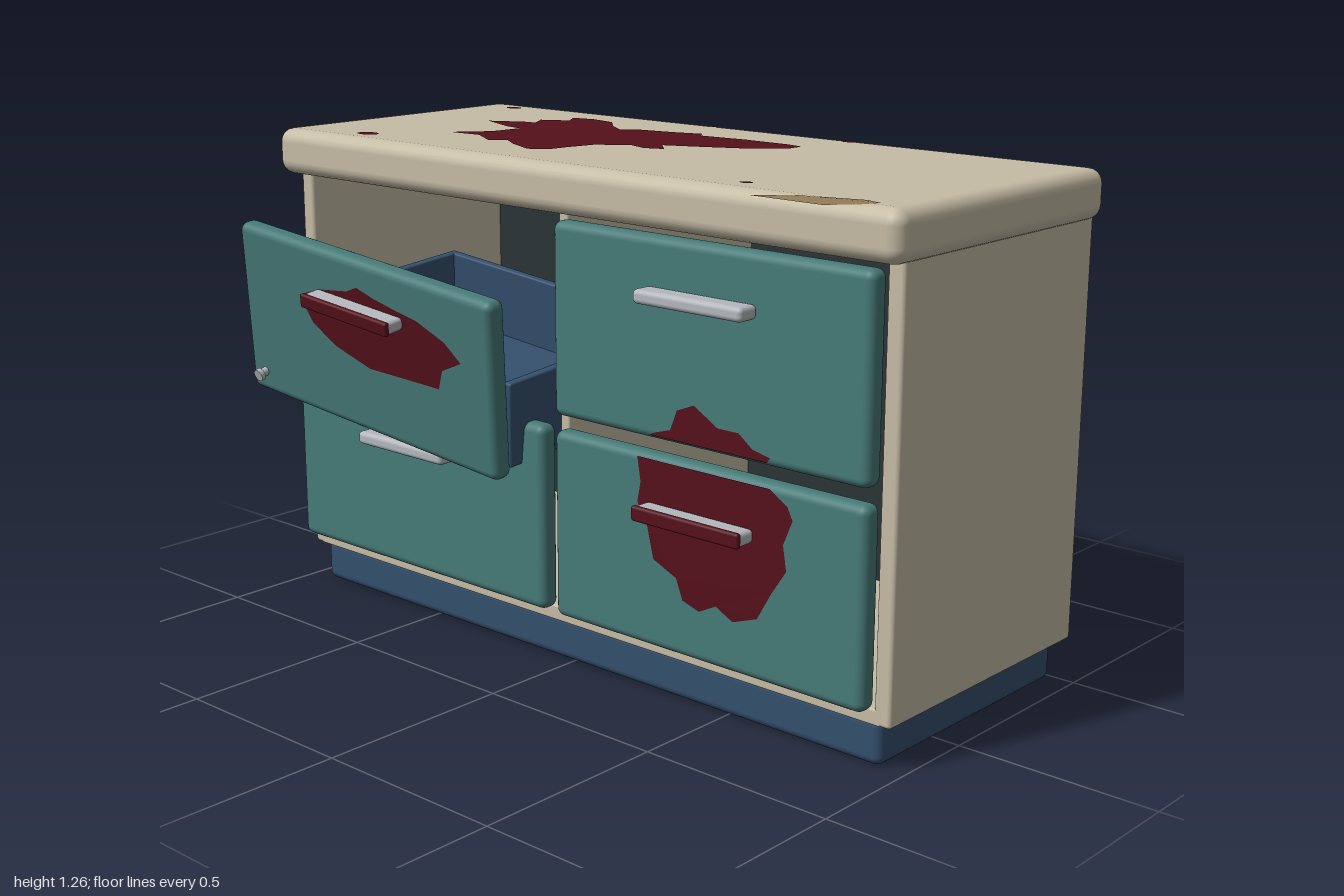
import * as THREE from 'three';
import { RoundedBoxGeometry } from 'three/addons/geometries/RoundedBoxGeometry.js';

const mat = (color) => new THREE.MeshStandardMaterial({ color, side: THREE.DoubleSide });
const cream = mat(0xc6bca6), teal = mat(0x467a78), navy = mat(0x344f6d), dark = mat(0x2a3336);
const steel = mat(0xb4b8bc), red = mat(0x55101b), brown = mat(0x8c7654);

function add(parent, name, geometry, material, x = 0, y = 0, z = 0) {
  const mesh = new THREE.Mesh(geometry, material);
  mesh.name = name;
  mesh.position.set(x, y, z);
  parent.add(mesh);
  return mesh;
}

// Rounded box given by its extents on each axis
function slab(parent, name, material, [x0, x1], [y0, y1], [z0, z1], r = 0.006) {
  const geo = new RoundedBoxGeometry(x1 - x0, y1 - y0, z1 - z0, 3, r);
  return add(parent, name, geo, material, (x0 + x1) / 2, (y0 + y1) / 2, (z0 + z1) / 2);
}

// Flat stain from an outline, facing +z
function stain(parent, name, points, z = 0) {
  const shape = new THREE.Shape(points.map(([x, y]) => new THREE.Vector2(x, y)));
  return add(parent, name, new THREE.ShapeGeometry(shape), red, 0, 0, z);
}

// Drawer front with its bar handle, centred on the panel
function drawerFront(name, width, height, stainedHandle) {
  const g = new THREE.Group();
  g.name = name;
  add(g, 'drawerPanel', new RoundedBoxGeometry(width, height, 0.056, 4, 0.022), teal);
  add(g, 'handle', new RoundedBoxGeometry(0.316, 0.034, 0.06, 3, 0.012), steel, 0, 0.106, 0.055);
  if (stainedHandle) {
    add(g, 'handleStain', new RoundedBoxGeometry(0.318, 0.037, 0.016, 3, 0.007), red, 0, 0.106, 0.079);
  }
  return g;
}

export function createModel() {
  const root = new THREE.Group();
  root.name = 'drawerCabinet';

  // Carcass
  slab(root, 'plinth', navy, [-0.945, 0.94], [0, 0.115], [-0.49, 0.225], 0.022);
  slab(root, 'worktop', cream, [-1, 1], [1.14, 1.26], [-0.525, 0.3], 0.036);
  for (const s of [-1, 1]) {
    slab(root, s < 0 ? 'rightSide' : 'leftSide', cream,
      s < 0 ? [-0.975, -0.93] : [0.93, 0.975], [0.105, 1.15], [-0.515, 0.24], 0.01);
  }
  slab(root, 'divider', cream, [-0.018, 0.012], [0.11, 1.15], [-0.48, 0.24]);
  slab(root, 'bottomBoard', cream, [-0.95, 0.95], [0.105, 0.145], [-0.5, 0.24]);
  slab(root, 'backBoard', cream, [-0.95, 0.95], [0.107, 1.15], [-0.505, -0.475]);
  slab(root, 'backLining', dark, [-0.935, 0.935], [0.14, 1.15], [-0.476, -0.45], 0.003);

  // Closed drawers
  for (const [name, x, y, stained] of [
    ['upperLeftDrawer', 0.478, 0.893, false],
    ['lowerLeftDrawer', 0.478, 0.385, true],
    ['lowerRightDrawer', -0.483, 0.385, false],
  ]) {
    const front = drawerFront(name, 0.925, 0.472, stained);
    front.position.set(x, y, 0.273);
    root.add(front);
  }

  // Tilted open box of the broken drawer, origin at its front centre
  const box = new THREE.Group();
  box.name = 'brokenDrawerBox';
  box.position.set(-0.503, 0.662, 0.352);
  box.rotation.set(0.09, 0, -0.1);
  slab(box, 'boxFloor', navy, [-0.42, 0.42], [-0.11, -0.085], [-0.62, 0]);
  slab(box, 'boxBack', navy, [-0.42, 0.42], [-0.11, 0.11], [-0.62, -0.595]);
  slab(box, 'boxRightWall', navy, [-0.425, -0.4], [-0.11, 0.11], [-0.62, 0]);
  slab(box, 'boxLeftWall', navy, [0.4, 0.425], [-0.11, 0.11], [-0.62, 0]);
  root.add(box);

  // Loose front hanging ahead of the box
  const loose = drawerFront('brokenDrawerFront', 0.92, 0.46, true);
  loose.position.set(-0.492, 0.772, 0.428);
  loose.rotation.set(0.135, 0, -0.1);
  const smear = stain(loose, 'looseFrontStain', [
    [-0.22, 0.11], [-0.18, 0.04], [-0.1, -0.01], [0.02, -0.05], [0.15, -0.055], [0.27, -0.06],
    [0.29, -0.01], [0.36, 0.02], [0.31, 0.065], [0.22, 0.105], [0.15, 0.12], [0.07, 0.14],
    [0.01, 0.16], [-0.03, 0.145], [-0.14, 0.135],
  ], 0.0295);
  smear.rotation.z = 0.1;
  const nail = add(loose, 'nail', new THREE.CylinderGeometry(0.012, 0.012, 0.11, 10), steel, -0.4, -0.165, 0);
  nail.rotation.x = Math.PI / 2 + 0.2;
  add(nail, 'nailHead', new THREE.CylinderGeometry(0.017, 0.017, 0.012, 10), steel, 0, 0.05, 0);
  root.add(loose);

  // Stain across the two left drawers
  stain(root, 'upperFrontStain', [
    [0.33, 0.668], [0.34, 0.675], [0.39, 0.69], [0.41, 0.74], [0.46, 0.76], [0.53, 0.72],
    [0.59, 0.72], [0.63, 0.69], [0.68, 0.68], [0.67, 0.668],
  ], 0.3025);
  stain(root, 'lowerFrontStain', [
    [0.29, 0.61], [0.3, 0.55], [0.29, 0.5], [0.32, 0.45], [0.34, 0.37], [0.41, 0.34], [0.43, 0.29],
    [0.48, 0.275], [0.53, 0.3], [0.58, 0.275], [0.65, 0.3], [0.69, 0.37], [0.73, 0.43],
    [0.72, 0.49], [0.745, 0.55], [0.73, 0.58], [0.68, 0.61],
  ], 0.3025);

  // Stains on the worktop, drawn with y pointing to the back
  const spill = new THREE.Group();
  spill.name = 'worktopStains';
  spill.position.y = 1.2625;
  spill.rotation.x = -Math.PI / 2;
  stain(spill, 'spill', [
    [0.27, 0.32], [0.27, 0.27], [0.19, 0.2], [0.09, 0.15], [0.0, 0.11], [0.05, 0.06], [0.0, 0.04],
    [-0.06, 0.06], [-0.09, 0.03], [-0.13, 0.01], [-0.15, -0.08], [-0.155, -0.13], [-0.2, -0.16],
    [-0.29, -0.12], [-0.35, -0.08], [-0.39, -0.11], [-0.48, -0.055], [-0.58, -0.065], [-0.51, 0.02],
    [-0.5, 0.11], [-0.56, 0.12], [-0.68, 0.17], [-0.59, 0.22], [-0.555, 0.225], [-0.59, 0.28],
    [-0.52, 0.32], [-0.555, 0.37], [-0.49, 0.385], [-0.41, 0.37], [-0.35, 0.31], [-0.29, 0.27],
    [-0.25, 0.3], [-0.15, 0.32], [-0.07, 0.345], [-0.05, 0.315], [0.08, 0.33], [0.22, 0.33],
  ]);
  for (const [x, y, r] of [[-0.845, 0.43, 0.026], [-0.145, 0.48, 0.011], [0.3, 0.475, 0.021],
    [-0.715, -0.225, 0.034], [0.54, -0.225, 0.017]]) {
    add(spill, 'drop', new THREE.CircleGeometry(r, 9), red, x, y, 0).scale.y = 0.7;
  }
  root.add(spill);

  // Worn chip folded over the front edge of the worktop
  const chip = new THREE.ShapeGeometry(new THREE.Shape([
    [0.61, -0.298], [0.72, -0.275], [0.88, -0.25], [0.925, -0.262], [0.88, -0.28], [0.8, -0.298],
  ].map(([x, y]) => new THREE.Vector2(x, y))));
  chip.rotateX(-Math.PI / 2);
  const p = chip.attributes.position;
  for (let i = 0; i < p.count; i++) p.setY(i, 1.263 - Math.max(0, p.getZ(i) - 0.265) * 0.4);
  chip.computeVertexNormals();
  add(root, 'wornChip', chip, brown);

  return root;
}
